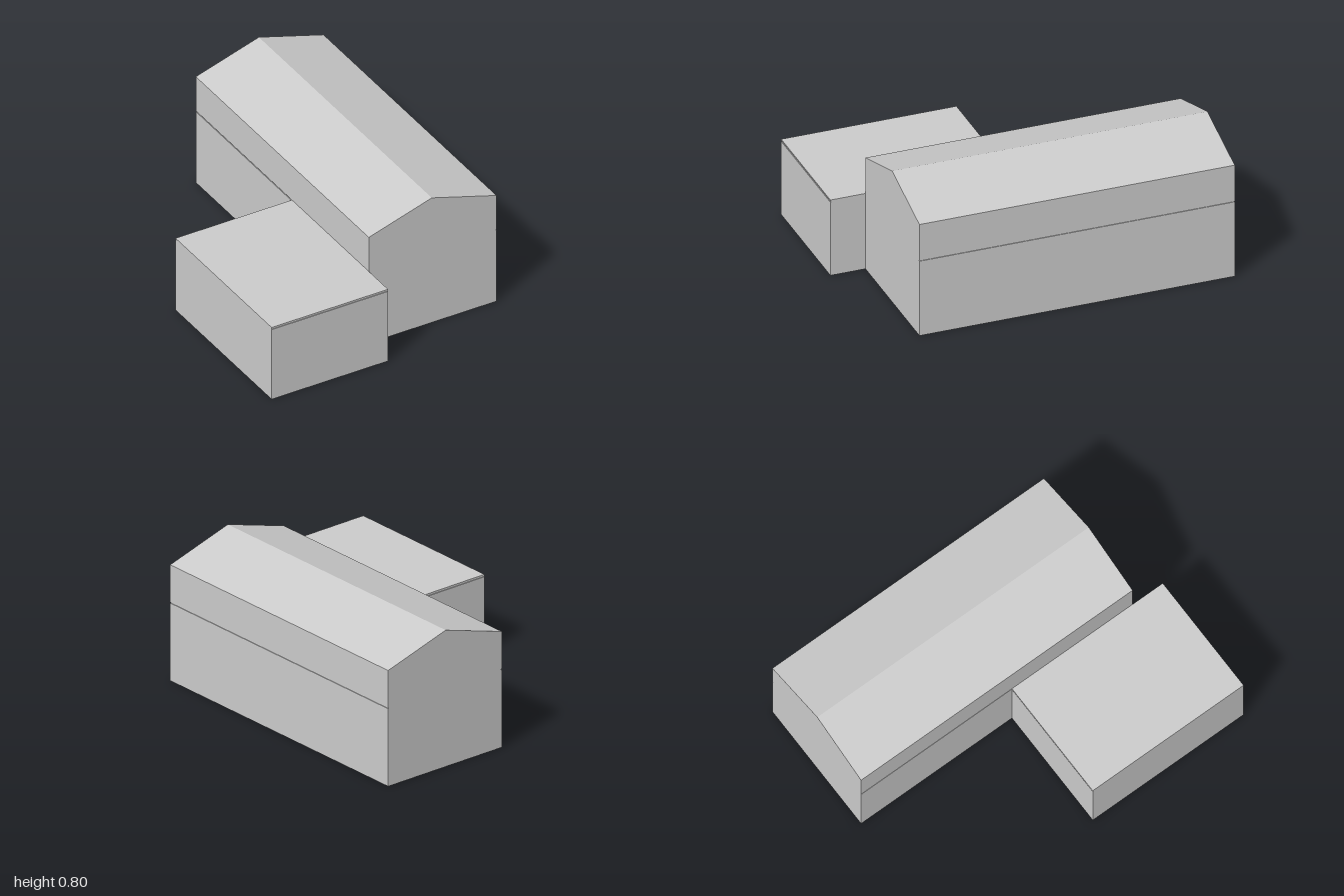
import * as THREE from 'three';

export function createModel() {
  const model = new THREE.Group();
  const material = new THREE.MeshStandardMaterial({ color: 0xcccccc, flatShading: true });

  // Box given by its minimum and maximum corners
  function block(name, parent, [x0, y0, z0], [x1, y1, z1]) {
    const mesh = new THREE.Mesh(new THREE.BoxGeometry(x1 - x0, y1 - y0, z1 - z0), material);
    mesh.name = name;
    mesh.position.set((x0 + x1) / 2, (y0 + y1) / 2, (z0 + z1) / 2);
    parent.add(mesh);
  }

  // Main hall: lower storey, fine side groove, gabled upper storey
  const hall = new THREE.Group();
  hall.name = 'mainHall';
  const left = -0.035, right = 0.755, back = -1, front = 0.8;
  const seam = 0.452, groove = 0.006, inset = 0.004;
  block('lowerWalls', hall, [left, 0, back], [right, seam, front]);
  block('wallSeam', hall, [left + inset, seam, back], [right - inset, seam + groove, front]);

  const gable = new THREE.Shape([
    [left, seam + groove], [right, seam + groove], [right, 0.675], [0.355, 0.795], [left, 0.675],
  ].map(([x, y]) => new THREE.Vector2(x, y)));
  const upper = new THREE.Mesh(
    new THREE.ExtrudeGeometry(gable, { depth: front - back, bevelEnabled: false }), material);
  upper.name = 'upperWallsAndGableRoof';
  upper.position.z = back;
  hall.add(upper);

  // Side annex: walls, shadow gap at front and back, thin flat roof
  const annex = new THREE.Group();
  annex.name = 'sideAnnex';
  block('annexWalls', annex, [-0.755, 0, 0], [left, 0.444, 1]);
  block('annexRoofGap', annex, [-0.755, 0.444, inset], [left, 0.45, 1 - inset]);
  block('annexFlatRoof', annex, [-0.755, 0.45, 0], [left, 0.458, 1]);

  model.add(hall, annex);
  return model;
}
